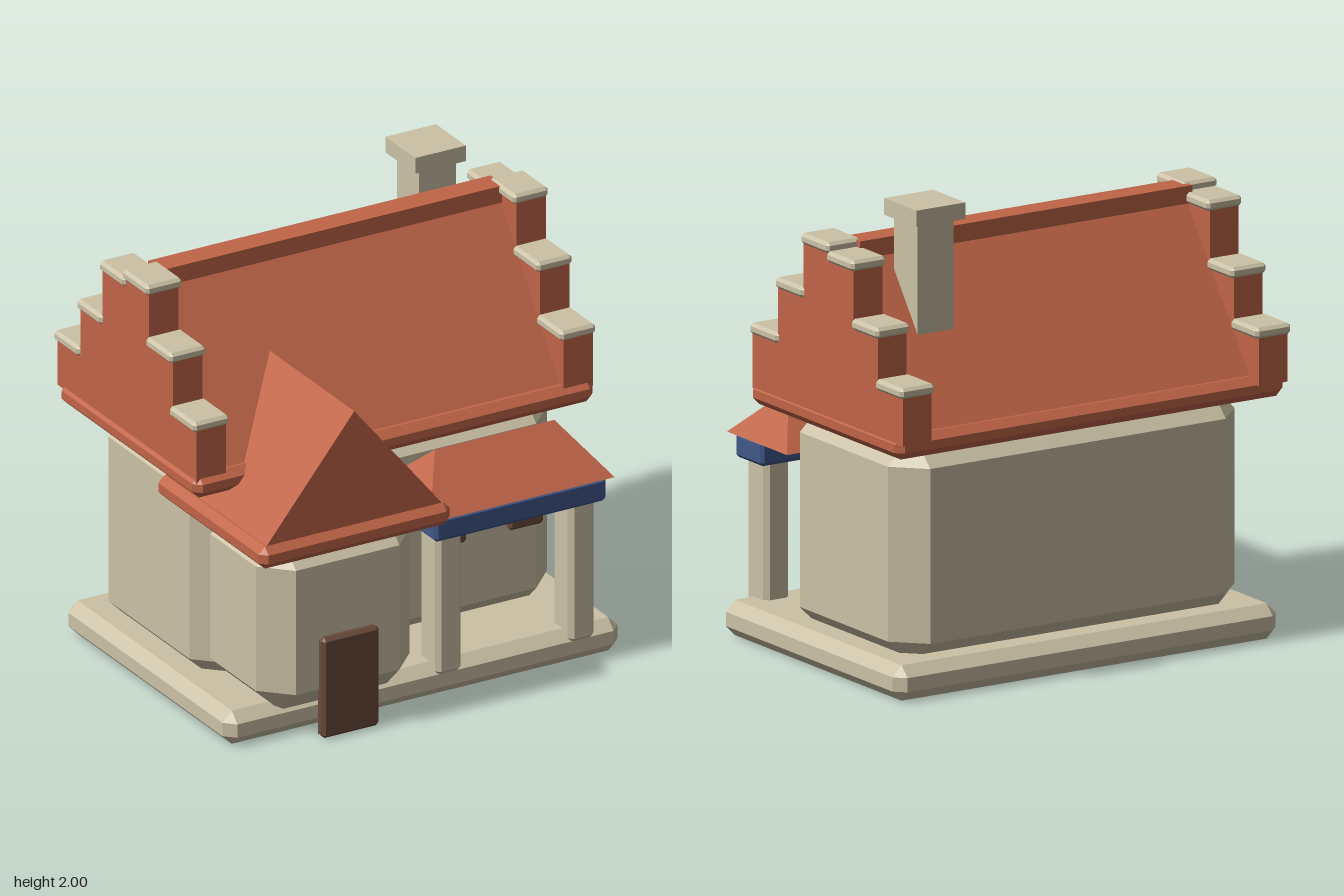
import * as THREE from 'three';
import { ConvexGeometry } from 'three/addons/geometries/ConvexGeometry.js';

const mat = (name, color) => {
  const m = new THREE.MeshStandardMaterial({ color });
  m.name = name;
  return m;
};

export function createModel() {
  const stone = mat('stone', 0xcbc1a5);
  const tile = mat('roofTile', 0xc06547);
  const wood = mat('darkWood', 0x6a4a3b);
  const blue = mat('blueBeam', 0x40588a);

  const house = new THREE.Group();
  house.name = 'house';

  const add = (name, geometry, material) => {
    const mesh = new THREE.Mesh(geometry, material);
    mesh.name = name;
    house.add(mesh);
    return mesh;
  };

  // Convex solid from a few corner points
  const solid = (name, points, material) =>
    add(name, new ConvexGeometry(points.map((p) => new THREE.Vector3(...p))), material);

  // Box given by its limits, with every edge chamfered by b
  const block = (name, [x0, x1], [y0, y1], [z0, z1], b, material) => {
    const points = [];
    for (const [x, sx] of [[x0, 1], [x1, -1]])
      for (const [y, sy] of [[y0, 1], [y1, -1]])
        for (const [z, sz] of [[z0, 1], [z1, -1]])
          points.push(
            [x, y + sy * b, z + sz * b],
            [x + sx * b, y, z + sz * b],
            [x + sx * b, y + sy * b, z]);
    return solid(name, points, material);
  };

  // Sharp-edged box given by its limits
  const box = (name, [x0, x1], [y0, y1], [z0, z1], material) => {
    const mesh = add(name, new THREE.BoxGeometry(x1 - x0, y1 - y0, z1 - z0), material);
    mesh.position.set((x0 + x1) / 2, (y0 + y1) / 2, (z0 + z1) / 2);
    return mesh;
  };

  // Base and walls
  block('base', [-0.94, 0.935], [0, 0.15], [-0.73, 0.6], 0.045, stone);
  block('mainWalls', [-0.85, 0.845], [0.08, 1.07], [-0.64, 0.265], 0.125, stone);
  block('wingWalls', [-0.79, -0.06], [0.1, 0.9], [-0.05, 0.69], 0.12, stone);

  // Main roof: eave slab, slopes and ridge
  block('mainEaves', [-0.955, 0.945], [1.03, 1.13], [-0.745, 0.37], 0.032, tile);
  const mainSlope = [];
  for (const x of [-0.81, 0.81])
    mainSlope.push([x, 1.1, 0.345], [x, 1.1, -0.72], [x, 1.81, -0.2]);
  solid('mainRoof', mainSlope, tile);
  box('ridge', [-0.815, 0.81], [1.76, 1.835], [-0.255, -0.145], tile);

  // Stepped gables with a cap on every step: [front z, back z, height]
  const steps = [
    [0.35, 0.16, 1.35], [0.16, -0.03, 1.585], [-0.03, -0.22, 1.815],
    [-0.22, -0.405, 1.78], [-0.405, -0.585, 1.535], [-0.585, -0.77, 1.32],
  ];
  const profile = new THREE.Shape();
  profile.moveTo(0.35, 1.1);
  for (const [front, back, h] of steps) {
    profile.lineTo(front, h);
    profile.lineTo(back, h);
  }
  profile.lineTo(-0.77, 1.1);
  for (const [side, sign] of [['left', 1], ['right', -1]]) {
    const geometry = new THREE.ExtrudeGeometry(profile, { depth: 0.14, bevelEnabled: false });
    geometry.rotateY(-Math.PI / 2); // shape x becomes z, depth runs toward -x
    geometry.translate(sign > 0 ? 0.94 : -0.802, 0, 0);
    add(side + 'Gable', geometry, tile);
    const xs = sign > 0 ? [0.785, 0.953] : [-0.957, -0.785];
    for (const [front, back, h] of steps)
      block(side + 'GableCap', xs, [h - 0.02, h + 0.027], [back - 0.01, front + 0.006], 0.013, stone);
  }

  // Chimney
  box('chimneyShaft', [0.485, 0.66], [1.4, 1.93], [-0.455, -0.28], stone);
  box('chimneyCap', [0.45, 0.69], [1.93, 2], [-0.49, -0.25], stone);

  // Wing roof
  block('wingEaves', [-0.88, 0.025], [0.855, 0.955], [-0.09, 0.775], 0.03, tile);
  const wingSlope = [];
  for (const z of [0, 0.745])
    wingSlope.push([-0.85, 0.945, z], [-0.003, 0.945, z], [-0.426, 1.465, z]);
  solid('wingRoof', wingSlope, tile);

  // Door and windows
  block('door', [-0.56, -0.29], [0.005, 0.455], [0.665, 0.722], 0.014, wood);
  for (const x of [0.215, 0.58])
    block('window', [x, x + 0.165], [0.5, 0.71], [0.247, 0.29], 0.012, wood);

  // Porch: posts, beam and hipped roof
  for (const x of [0.045, 0.675])
    block('porchPost', [x, x + 0.122], [0.1, 0.76], [0.467, 0.615], 0.02, stone);
  block('porchBeam', [0.015, 0.83], [0.725, 0.83], [0.447, 0.65], 0.014, blue);
  solid('porchRoof', [
    [-0.02, 0.832, 0.665], [0.857, 0.832, 0.665],
    [-0.02, 0.832, 0.218], [0.857, 0.832, 0.218],
    [0.137, 1.037, 0.44], [0.703, 1.037, 0.44],
  ], tile);

  return house;
}
